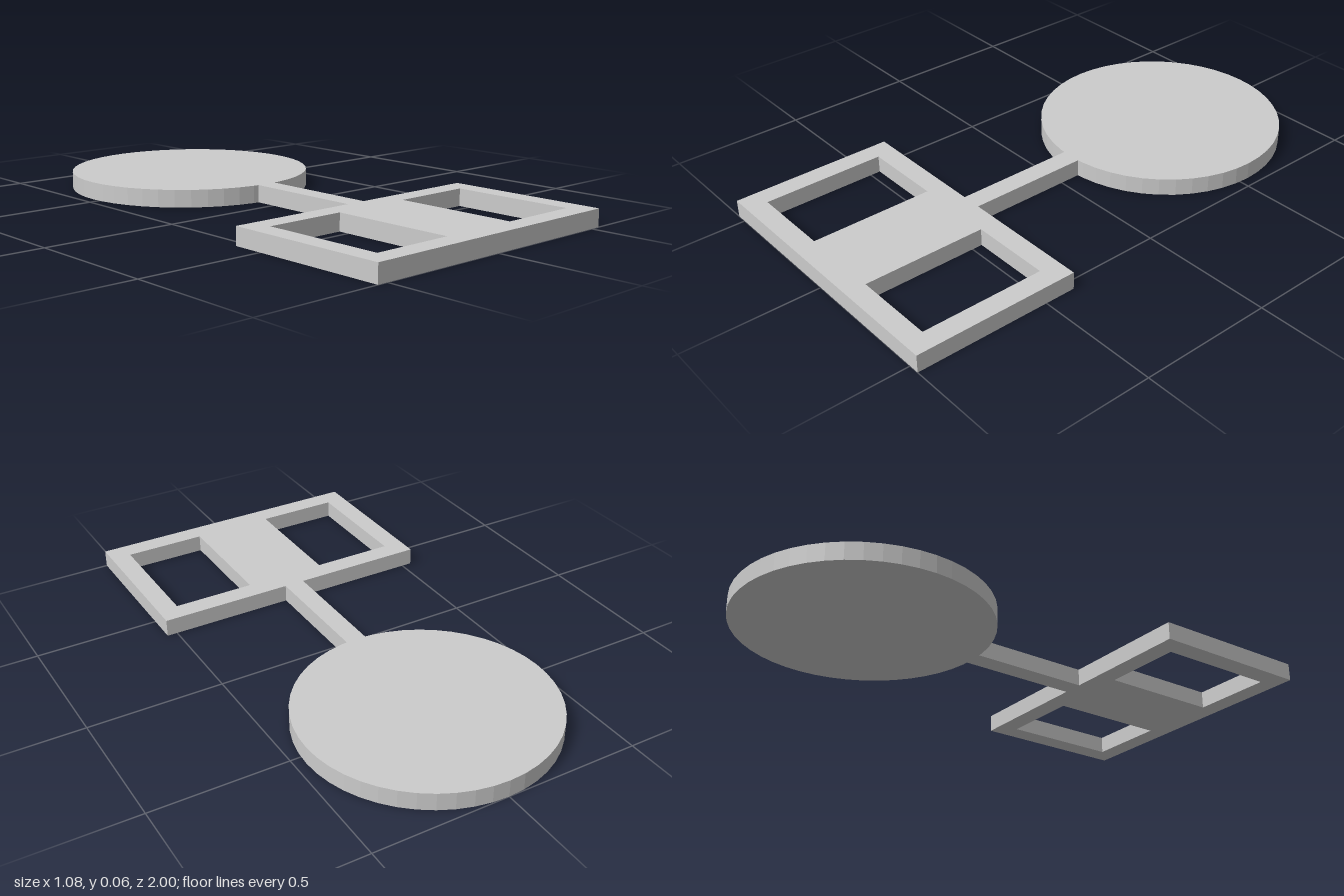
import * as THREE from 'three';

const U = 1 / 13;      // layout module: wall and stem width
const H = 0.065;       // plate thickness

export function createModel() {
  const group = new THREE.Group();
  const material = new THREE.MeshStandardMaterial({ color: 0xcccccc, flatShading: true });

  const add = (name, geometry, y, z) => {
    const mesh = new THREE.Mesh(geometry, material);
    mesh.name = name;
    mesh.position.set(0, y, z);
    group.add(mesh);
  };

  const rectangle = (PathType, x0, y0, x1, y1) => new PathType([
    new THREE.Vector2(x0, y0), new THREE.Vector2(x1, y0),
    new THREE.Vector2(x1, y1), new THREE.Vector2(x0, y1),
  ]);

  // Round plate at the back
  add('disc', new THREE.CylinderGeometry(6 * U, 6 * U, H, 48), H / 2, -7 * U);

  // Narrow stem joining disc and frame, its back end just inside the disc rim
  const back = -1.03 * U, front = 5 * U;
  add('stem', new THREE.BoxGeometry(U, H, front - back), H / 2, (front + back) / 2);

  // Rectangular frame with two mirrored windows and a wide centre bar
  const shape = rectangle(THREE.Shape, -7 * U, -4 * U, 7 * U, 4 * U);
  for (const s of [-1, 1]) {
    shape.holes.push(rectangle(THREE.Path, s * 2 * U, -3 * U, s * 6 * U, 3 * U));
  }
  const frame = new THREE.ExtrudeGeometry(shape, { depth: H, bevelEnabled: false });
  frame.rotateX(-Math.PI / 2);
  add('windowFrame', frame, 0, 9 * U);

  return group;
}
